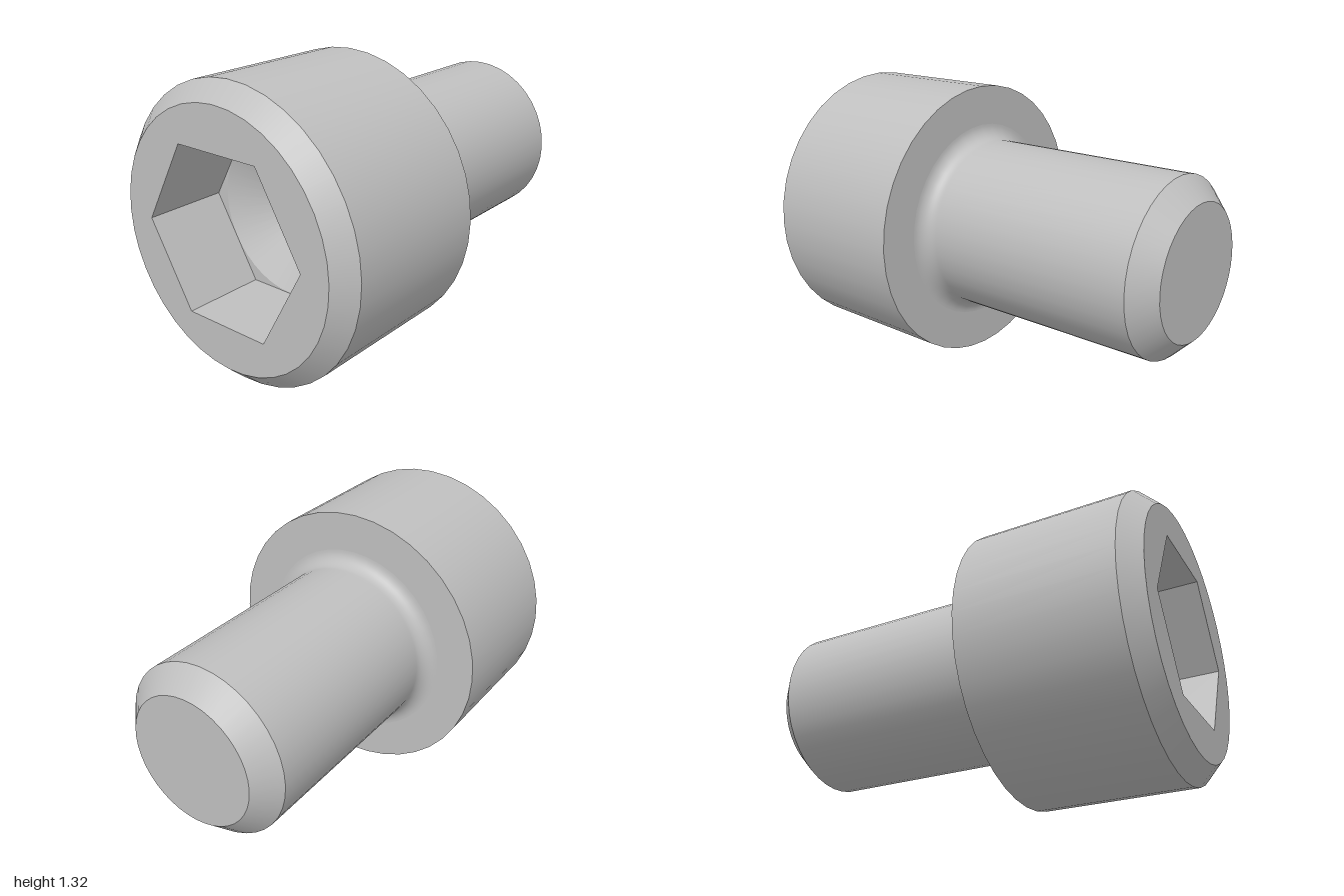
import * as THREE from 'three';

const SEGMENTS = 40;
const HEAD_R = 0.66, FACE_R = 0.577, SHANK_R = 0.405, TIP_R = 0.305;
const UNDER_HEAD = -0.19, FILLET = 0.07;
const HEX_R = 0.435, SOCKET_X = -0.62, DRILL_R = 0.374;

export function createModel() {
  const model = new THREE.Group();
  model.name = 'socketHeadScrew';
  const steel = new THREE.MeshStandardMaterial({ color: 0xbfbfbf });
  steel.name = 'steelGrey';

  const add = (name, geometry) => {
    const mesh = new THREE.Mesh(geometry, steel);
    mesh.name = name;
    model.add(mesh);
  };

  // Surface of revolution about the x axis, from [radius, x] pairs
  const turned = (points, segments = SEGMENTS) =>
    new THREE.LatheGeometry(points.map(([r, x]) => new THREE.Vector2(r, x)), segments)
      .rotateZ(-Math.PI / 2);

  // Regular polygon with a corner on the z axis
  const ring = (radius, sides) => Array.from({ length: sides }, (_, i) => {
    const a = (i / sides) * Math.PI * 2;
    return new THREE.Vector2(radius * Math.cos(a), radius * Math.sin(a));
  });

  // Flat plate facing -x with a hole through it
  const plate = (outer, inner, x) => {
    const shape = new THREE.Shape(outer);
    shape.holes.push(new THREE.Path(inner));
    return new THREE.ShapeGeometry(shape).rotateY(-Math.PI / 2).translate(x, 0, 0);
  };

  // Head
  add('headFace', plate(ring(FACE_R, SEGMENTS), ring(HEX_R, 6), -1));
  add('headChamfer', turned([[FACE_R, -1], [HEAD_R, -0.915]]));
  add('headSide', turned([[HEAD_R, -0.915], [HEAD_R, UNDER_HEAD]]));
  add('headUnderside', turned([[HEAD_R, UNDER_HEAD], [SHANK_R + FILLET, UNDER_HEAD]]));

  // Hexagonal socket with a drilled, conical bottom
  const walls = turned([[HEX_R, SOCKET_X], [HEX_R, -1]], 6).toNonIndexed();
  walls.computeVertexNormals();
  add('socketWalls', walls);
  add('socketFloor', plate(ring(HEX_R, 6), ring(DRILL_R, SEGMENTS), SOCKET_X));
  add('socketCone', turned([[0, SOCKET_X + 0.215], [DRILL_R, SOCKET_X]]));

  // Shank, blended into the head by a fillet
  const blend = [];
  for (let i = 0; i <= 10; i++) {
    const a = (i / 10) * Math.PI / 2;
    blend.push([
      SHANK_R + FILLET * (1 - Math.sin(a)),
      UNDER_HEAD + FILLET * (1 - Math.cos(a)),
    ]);
  }
  add('shankWithFillet', turned([...blend, [SHANK_R, -0.1], [SHANK_R, 0.9]]));
  add('tipChamfer', turned([[SHANK_R, 0.9], [TIP_R, 1]]));
  add('tipFace', turned([[TIP_R, 1], [0, 1]]));

  model.position.y = HEAD_R;
  return model;
}
